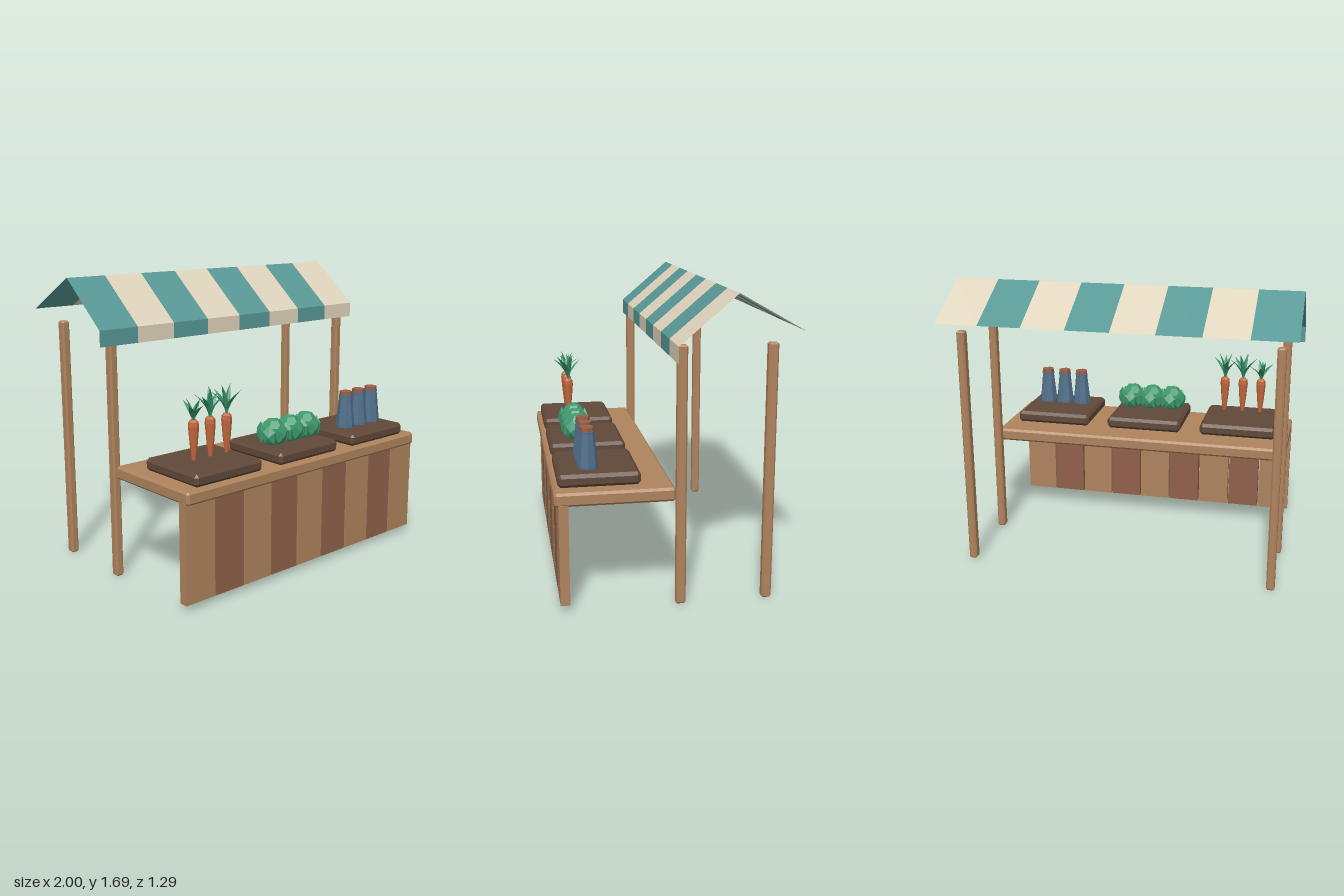
import * as THREE from 'three';
import { ConvexGeometry } from 'three/addons/geometries/ConvexGeometry.js';

const mat = (name, color, opts = {}) => {
  const m = new THREE.MeshStandardMaterial({ color, flatShading: true, ...opts });
  m.name = name;
  return m;
};

export function createModel() {
  const model = new THREE.Group();
  const M = {
    wood: mat('lightWood', 0xae835d),
    redWood: mat('redWood', 0x8f6049),
    crate: mat('darkWood', 0x604839),
    teal: mat('tealCloth', 0x589896, { side: THREE.DoubleSide }),
    cream: mat('creamCloth', 0xdfd4bc, { side: THREE.DoubleSide }),
    carrot: mat('carrotOrange', 0xc4683d),
    leaf: mat('leafGreen', 0x379068),
    cabbage: mat('cabbageGreen', 0x3f9a70),
    jar: mat('blueGlaze', 0x50708c),
    cork: mat('cork', 0x98604a),
  };

  const add = (name, geo, material, parent = model, x = 0, y = 0, z = 0) => {
    const mesh = new THREE.Mesh(geo, material);
    mesh.name = name;
    mesh.position.set(x, y, z);
    parent.add(mesh);
    return mesh;
  };
  const group = (name, x, y, z) => {
    const g = new THREE.Group();
    g.name = name;
    g.position.set(x, y, z);
    model.add(g);
    return g;
  };

  // Box with every edge chamfered by c
  const chamferBox = (w, h, d, c) => {
    const pts = [];
    for (const sx of [-1, 1]) for (const sy of [-1, 1]) for (const sz of [-1, 1])
      for (let k = 0; k < 3; k++)
        pts.push(new THREE.Vector3(
          sx * (w / 2 - (k === 0 ? 0 : c)),
          sy * (h / 2 - (k === 1 ? 0 : c)),
          sz * (d / 2 - (k === 2 ? 0 : c))));
    return new ConvexGeometry(pts);
  };
  const lathe = (profile, sides) =>
    new THREE.LatheGeometry(profile.map(([r, y]) => new THREE.Vector2(r, y)), sides);

  // Posts
  const postGeo = chamferBox(0.048, 1.42, 0.054, 0.009);
  for (const x of [-0.905, 0.905]) {
    add('frontPost', postGeo, M.wood, model, x, 0.715, -0.026);
    add('backPost', postGeo, M.wood, model, x, 0.715, -0.505);
  }

  // Counter and front planks
  add('counterTop', chamferBox(1.84, 0.075, 0.642, 0.013), M.wood, model, 0, 0.6275, 0.324);
  for (let i = 0; i < 9; i++)
    add('frontPlank', new THREE.BoxGeometry(0.197, 0.56, 0.052),
      i % 2 ? M.redWood : M.wood, model, (i - 4) * 0.2055, 0.32, 0.598);

  // Striped cloth roof: back slope, front slope and hanging valance
  const section = [[1.49, -0.65], [1.69, -0.295], [1.43, 0.012], [1.34, 0.012]];
  for (let i = 0; i < 8; i++) {
    const x0 = -1 + i * 0.25, x1 = x0 + 0.25, pos = [];
    for (let k = 0; k < 3; k++) {
      const [ya, za] = section[k], [yb, zb] = section[k + 1];
      pos.push(x0, ya, za, x0, yb, zb, x1, yb, zb, x0, ya, za, x1, yb, zb, x1, ya, za);
    }
    const g = new THREE.BufferGeometry();
    g.setAttribute('position', new THREE.Float32BufferAttribute(pos, 3));
    g.computeVertexNormals();
    add('roofStripe', g, i % 2 ? M.cream : M.teal);
  }

  // Display trays
  for (const x of [-0.605, -0.002, 0.6])
    add('tray', chamferBox(0.475, 0.072, 0.445, 0.018), M.crate, model, x, 0.7, 0.397);

  // Leaf blade: spindle that swells mid-length and bends outward along +x
  const leafGeo = (length, width, reach) => {
    const g = new THREE.CylinderGeometry(1, 1, 1, 4, 4);
    const p = g.attributes.position;
    const girth = [0.3, 0.75, 1, 0.7, 0.04];
    for (let i = 0; i < p.count; i++) {
      const t = p.getY(i) + 0.5, r = girth[Math.round(t * 4)] * width;
      p.setXYZ(i, p.getX(i) * r * 0.4 + reach * t * t, t * length, p.getZ(i) * r);
    }
    g.computeVertexNormals();
    return g;
  };

  // Carrots with leafy tops
  const carrotGeo = lathe([[0, 0], [0.012, 0.002], [0.022, 0.09], [0.03, 0.185],
    [0.027, 0.21], [0.016, 0.222], [0, 0.222]], 8);
  const outerLeaf = leafGeo(0.13, 0.017, 0.085);
  const innerLeaf = leafGeo(0.165, 0.017, 0.04);
  [[-0.72, Math.PI / 2, 0.75], [-0.605, 0.35, 1], [-0.488, -0.4, 1]].forEach(([x, turn, tall]) => {
    const g = group('carrot', x, 0.758, 0.45);
    add('carrotRoot', carrotGeo, M.carrot, g);
    const top = new THREE.Group();
    top.name = 'carrotLeaves';
    top.position.y = 0.215;
    top.rotation.y = turn;
    top.scale.y = tall;
    g.add(top);
    for (const a of [0, 2.2, Math.PI, 5.2]) add('outerLeaf', outerLeaf, M.leaf, top).rotation.y = a;
    for (const a of [0.7, 3.7]) add('innerLeaf', innerLeaf, M.leaf, top).rotation.y = a;
  });

  // Cabbages: faceted heart wrapped in cupped outer leaves
  const heartGeo = lathe([[0, 0], [0.045, 0.004], [0.078, 0.05], [0.072, 0.105],
    [0.04, 0.145], [0, 0.155]], 6);
  const wrapGeo = new ConvexGeometry([
    [0.03, 0, 0], [0.078, 0.025, 0.03], [0.078, 0.025, -0.03], [0.1, 0.065, 0],
    [0.085, 0.1, 0.036], [0.085, 0.1, -0.036], [0.072, 0.14, 0], [0.05, 0.07, 0.04], [0.05, 0.07, -0.04],
  ].map((v) => new THREE.Vector3(...v)));
  for (const x of [-0.137, -0.005, 0.127]) {
    const g = group('cabbage', x, 0.74, 0.45);
    add('cabbageHeart', heartGeo, M.cabbage, g);
    for (let i = 0; i < 6; i++) {
      const wrap = add('cabbageLeaf', wrapGeo, M.cabbage, g);
      wrap.rotation.y = Math.PI / 6 + i * Math.PI / 3;
      wrap.scale.set(0.98, i % 2 ? 0.9 : 1, 0.98);
    }
  }

  // Tapered jars with cork stoppers
  const jarGeo = lathe([[0, 0], [0.058, 0], [0.058, 0.012], [0.039, 0.19], [0, 0.19]], 8);
  const corkGeo = new THREE.CylinderGeometry(0.038, 0.038, 0.034, 8);
  for (const x of [0.482, 0.599, 0.716]) {
    const g = group('jar', x, 0.742, 0.45);
    add('jarBody', jarGeo, M.jar, g);
    add('jarRim', lathe([[0.036, 0.19], [0.042, 0.19], [0.042, 0.2], [0.036, 0.2]], 8), M.jar, g);
    add('jarStopper', corkGeo, M.cork, g, 0, 0.206, 0);
  }

  return model;
}
